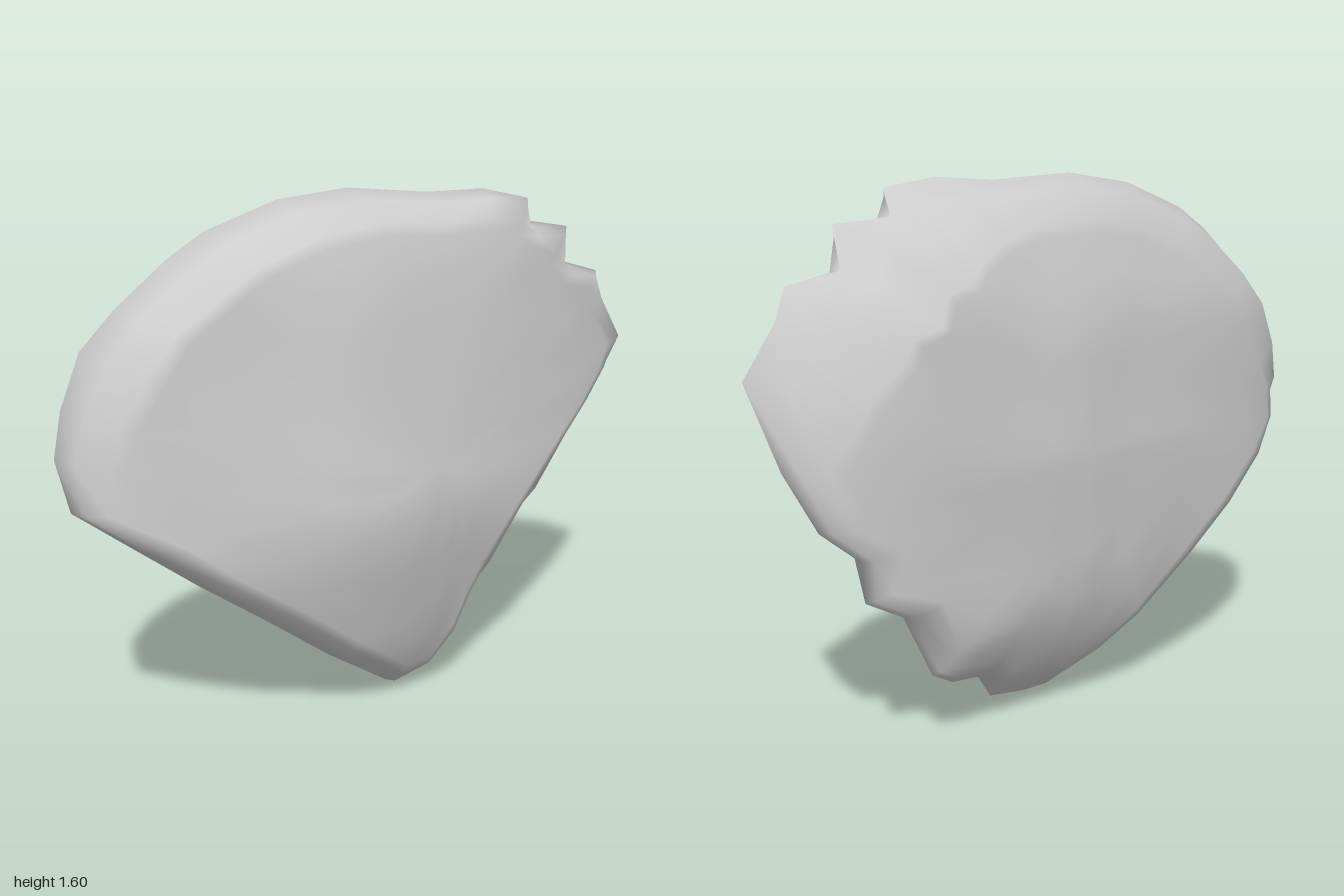
import * as THREE from 'three';
import { mergeVertices } from 'three/addons/utils/BufferGeometryUtils.js';

// Rounded rim, counterclockwise from the right tip: x, y, z, inset of the front shoulder
const ROUND_RIM = [
  [1, 1.05, 0, 0.04], [0.9, 1.2, 0, 0.05], [0.86, 1.29, 0.02, 0.09],
  [0.73, 1.33, -0.05, 0.06], [0.69, 1.45, 0.06, 0.12], [0.57, 1.47, -0.05, 0.06],
  [0.51, 1.55, 0.08, 0.1], [0.38, 1.58, 0.02, 0.1], [0.2, 1.575, -0.02, 0.1],
  [-0.08, 1.6, -0.03, 0.11], [-0.3, 1.575, -0.05, 0.11], [-0.53, 1.5, -0.05, 0.11],
  [-0.64, 1.43, -0.06, 0.11], [-0.8, 1.31, -0.05, 0.1], [-0.9, 1.2, -0.07, 0.11],
  [-0.97, 1.05, -0.05, 0.09], [-1, 0.92, -0.04, 0.08], [-0.99, 0.79, 0.04, 0.07],
  [-0.84, 0.67, 0.06, 0.08], [-0.65, 0.52, 0.09, 0.08], [-0.45, 0.37, 0.09, 0.09],
  [-0.22, 0.19, 0.08, 0.09], [-0.08, 0.09, 0.05, 0.09], [0.04, 0, 0, 0.08],
];

// Chipped rim below the large facet: x, y, z, then x, y of the facet's ridge
const FACET_RIM = [
  [0.15, 0.01, -0.04, 0.14, 0.08], [0.3, 0.06, -0.12, 0.2, 0.2],
  [0.36, 0.14, -0.14, 0.24, 0.32], [0.48, 0.165, -0.18, 0.29, 0.42],
  [0.56, 0.21, -0.2, 0.35, 0.52], [0.64, 0.39, -0.18, 0.43, 0.61],
  [0.77, 0.46, -0.2, 0.54, 0.7], [0.77, 0.57, -0.18, 0.66, 0.79],
  [0.88, 0.66, -0.16, 0.78, 0.87], [0.95, 0.82, -0.1, 0.9, 0.96],
];
const CENTRE = [0.05, 0.8];

// Depth profiles across the width and up the height
const FRONT_X = [[-1, 0.09], [-0.8, 0.195], [-0.4, 0.255], [-0.17, 0.29], [0, 0.275], [0.4, 0.215], [0.7, 0.13], [1, 0.01]];
const FRONT_Y = [[0, 0.03], [0.06, 0.11], [0.18, 0.18], [0.55, 0.285], [0.7, 0.295], [1, 0.25], [1.4, 0.195], [1.6, 0.12]];
const BACK_X = [[-1, 0.1], [-0.8, 0.21], [-0.6, 0.25], [0.05, 0.3], [0.6, 0.28], [0.8, 0.24], [0.9, 0.18], [1, 0.02]];
const BACK_Y = [[0, 0.05], [0.12, 0.18], [0.32, 0.28], [0.8, 0.29], [1.2, 0.26], [1.47, 0.18], [1.6, 0.07]];

const { lerp: mix, smoothstep } = THREE.MathUtils;
const mixPoint = (a, b, t) => [mix(a[0], b[0], t), mix(a[1], b[1], t)];

function sample(table, t) {
  for (let i = 1; i < table.length; i++) {
    const [a, va] = table[i - 1], [b, vb] = table[i];
    if (t <= b) return mix(va, vb, Math.max(0, (t - a) / (b - a)));
  }
  return table[table.length - 1][1];
}

// Gentle ripples left by knapping
const ripple = (x, y) => 0.004 * Math.sin(9 * x + 5 * y) * Math.sin(8 * y - 4 * x);
const frontZ = (x, y) => sample(FRONT_X, x) * sample(FRONT_Y, y) / 0.285 + ripple(x, y);
const backZ = (x, y) => -sample(BACK_X, x) * sample(BACK_Y, y) / 0.295 + ripple(y, x);

// Points from the face centre out to a shoulder, then an edge before the rim;
// a bluntness of 0.3 gives a flat facet, more gives a rounder edge
function half(rim, shoulder, depth, bluntness) {
  const points = [1, 0.8, 0.6, 0.4, 0.2, 0.05, 0].map((s) => {
    const [x, y] = mixPoint(shoulder, CENTRE, s);
    return [x, y, depth(x, y)];
  });
  const shoulderZ = points[points.length - 1][2];
  points.push([...mixPoint(rim, shoulder, 0.3), mix(rim[2], shoulderZ, bluntness)]);
  return points;
}

// One section running from the front centre, over the rim, to the back centre
function section(rim, frontShoulder, frontBluntness) {
  const [x, y] = rim;
  const backInset = 0.08 + 0.1 * smoothstep(y, 0.7, 1.2) + 0.1 * smoothstep(x + y, 1.8, 2.1);
  return [
    ...half(rim, frontShoulder, frontZ, frontBluntness),
    rim,
    ...half(rim, mixPoint(rim, CENTRE, backInset), backZ, 0.54).reverse(),
  ];
}

function stoneGeometry() {
  const sections = [
    ...ROUND_RIM.map(([x, y, z, inset]) => section([x, y, z], mixPoint([x, y], CENTRE, inset), 0.54)),
    ...FACET_RIM.map(([x, y, z, sx, sy]) => section([x, y, z], [sx, sy], 0.38)),
  ];
  const rows = sections[0].length, n = sections.length;
  const index = [];
  for (let i = 0; i < n; i++) {
    for (let r = 0; r < rows - 1; r++) {
      const a = i * rows + r, b = ((i + 1) % n) * rows + r;
      if (r === 0) index.push(a, a + 1, b + 1);
      else index.push(a, a + 1, b);
      if (r > 0 && r < rows - 2) index.push(b, a + 1, b + 1);
    }
  }
  const geometry = new THREE.BufferGeometry();
  geometry.setAttribute('position', new THREE.Float32BufferAttribute(sections.flat(2), 3));
  geometry.setIndex(index);
  const merged = mergeVertices(geometry, 1e-4);
  merged.computeVertexNormals();
  return merged;
}

export function createModel() {
  const group = new THREE.Group();
  group.name = 'stoneFlake';
  const stone = new THREE.MeshStandardMaterial({ color: 0xcccccc });
  stone.name = 'greyStone';
  const body = new THREE.Mesh(stoneGeometry(), stone);
  body.name = 'stoneBody';
  group.add(body);
  return group;
}
